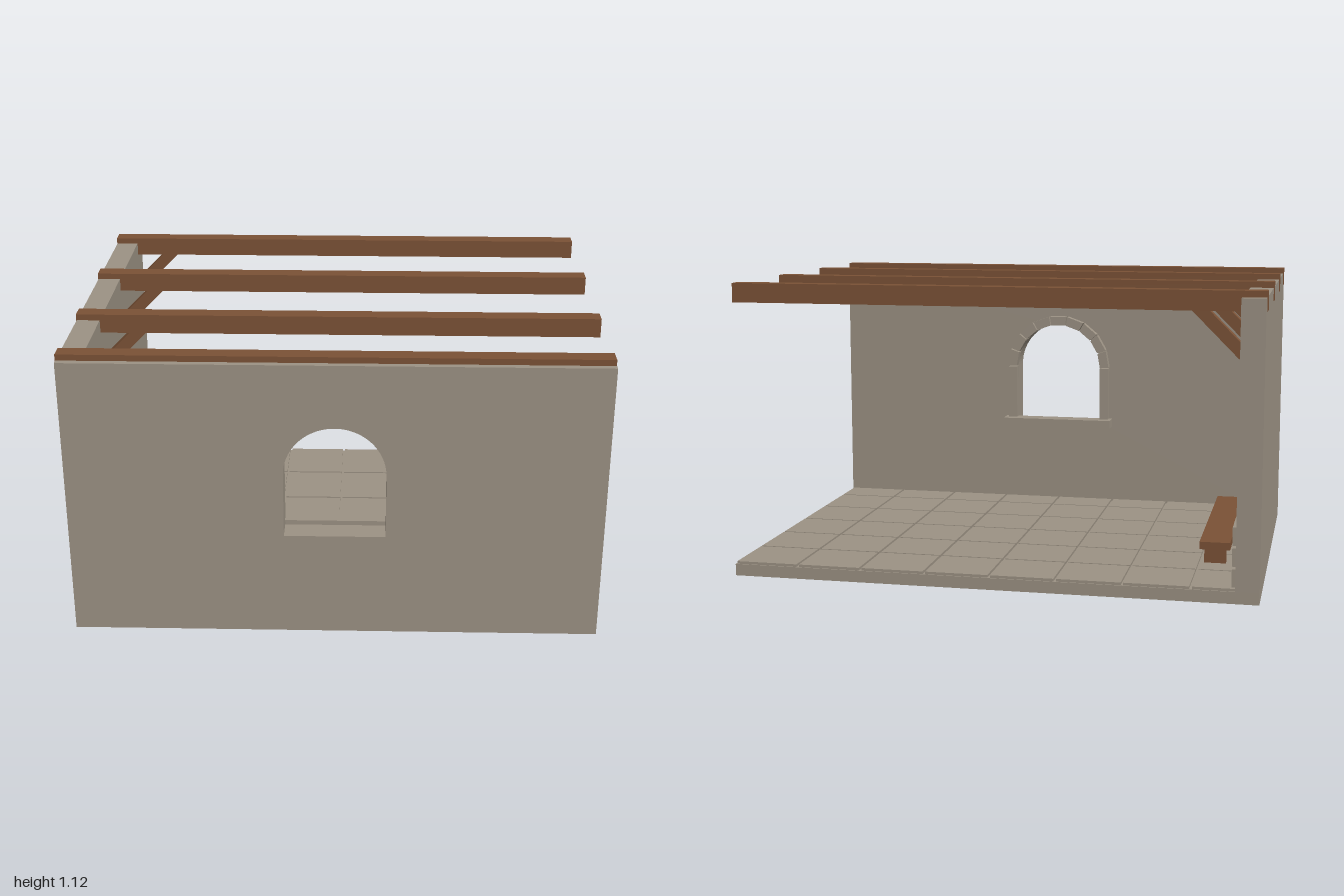
import * as THREE from 'three';

const stone = new THREE.MeshStandardMaterial({ color: 0x9c9284 });
stone.name = 'stone';
const wood = new THREE.MeshStandardMaterial({ color: 0x7b5236 });
wood.name = 'wood';

// Box given by its minimum and maximum corners
function box(parent, name, material, [x0, y0, z0], [x1, y1, z1]) {
  const mesh = new THREE.Mesh(new THREE.BoxGeometry(x1 - x0, y1 - y0, z1 - z0), material);
  mesh.position.set((x0 + x1) / 2, (y0 + y1) / 2, (z0 + z1) / 2);
  mesh.name = name;
  parent.add(mesh);
  return mesh;
}

function group(parent, name) {
  const g = new THREE.Group();
  g.name = name;
  parent.add(g);
  return g;
}

export function createModel() {
  const model = new THREE.Group();
  model.name = 'room';
  const inner = 0.66; // inside face of the front wall
  const side = -0.91; // inside face of the side wall

  // Floor slab with square paving tiles
  const floor = group(model, 'floor');
  box(floor, 'floorSlab', stone, [-0.997, 0, -0.75], [1, 0.045, 0.748]);
  for (let i = 0; i < 8; i++) {
    for (let j = 0; j < 6; j++) {
      const x = -1 + i * 0.25, z = -0.75 + j * 0.25;
      box(floor, 'floorTile', stone,
        [Math.max(x + 0.005, side), 0.045, z + 0.005],
        [x + 0.245, 0.055, Math.min(z + 0.245, inner)]);
    }
  }

  // Front wall with an arched window opening
  const r = 0.19, spring = 0.665, bottom = 0.412;
  const outline = new THREE.Shape();
  outline.moveTo(-0.998, 0).lineTo(1, 0).lineTo(1, 1.1).lineTo(-0.998, 1.1).closePath();
  const opening = new THREE.Path();
  opening.moveTo(-r, bottom).lineTo(r, bottom).lineTo(r, spring);
  opening.absarc(0, spring, r, 0, Math.PI, false);
  opening.closePath();
  outline.holes.push(opening);
  const wall = new THREE.Mesh(
    new THREE.ExtrudeGeometry(outline, { depth: 0.75 - inner, bevelEnabled: false, curveSegments: 24 }), stone);
  wall.position.z = inner;
  wall.name = 'frontWall';
  model.add(wall);

  // Side wall and its low courses of brick
  box(model, 'sideWall', stone, [-0.998, 0, -0.75], [side, 1.1, inner]);
  const bricks = group(model, 'brickCourses');
  const pitch = (inner + 0.75) / 8;
  for (let row = 0; row < 3; row++) {
    for (let i = 0; i < 8; i++) {
      const y = 0.06 + row * 0.077, z = -0.75 + i * pitch;
      box(bricks, 'brick', stone, [side, y, z + 0.004], [-0.897, y + 0.067, z + pitch - 0.004]);
    }
  }

  // Window surround: sill, jambs and arch stones
  const surround = group(model, 'windowSurround');
  box(surround, 'windowSill', stone, [-0.245, 0.395, 0.585], [0.245, 0.43, inner]);
  for (const s of [-1, 1]) {
    const jamb = box(surround, 'windowJamb', stone, [0.191, 0.43, 0.627], [0.23, 0.662, inner]);
    jamb.position.x *= s;
  }
  const step = Math.PI / 9;
  for (let i = 0; i < 9; i++) {
    const a = i * step + 0.01, b = (i + 1) * step - 0.01;
    const p = (radius, t) => new THREE.Vector2(radius * Math.cos(t), spring + radius * Math.sin(t));
    const shape = new THREE.Shape([p(0.192, a), p(0.232, a), p(0.232, b), p(0.192, b)]);
    const archStone = new THREE.Mesh(
      new THREE.ExtrudeGeometry(shape, { depth: 0.038, bevelEnabled: false }), stone);
    archStone.position.z = inner - 0.038;
    archStone.name = 'archStone';
    surround.add(archStone);
  }

  // Roof beams, with diagonal braces down to the side wall
  const roof = group(model, 'roofBeams');
  [-0.675, -0.195, 0.285, 0.693].forEach((z, i) => {
    box(roof, 'roofBeam', wood, [-1, 1.05, z - 0.0325], [0.999, 1.123, z + 0.0325]);
    if (i === 3) return;
    const brace = box(roof, 'beamBrace', wood, [-0.12, -0.0225, -0.0225], [0.12, 0.0225, 0.0225]);
    brace.position.set(-0.835, 0.98, z);
    brace.rotation.z = Math.PI / 4;
  });

  // Low bench along the side wall
  const bench = group(model, 'bench');
  box(bench, 'benchSeat', wood, [-0.867, 0.113, -0.42], [-0.75, 0.142, 0.42]);
  for (const z of [-0.38, -0.127, 0.127, 0.38]) {
    box(bench, 'benchLeg', wood, [-0.85, 0.055, z - 0.014], [-0.767, 0.113, z + 0.014]);
  }

  return model;
}
